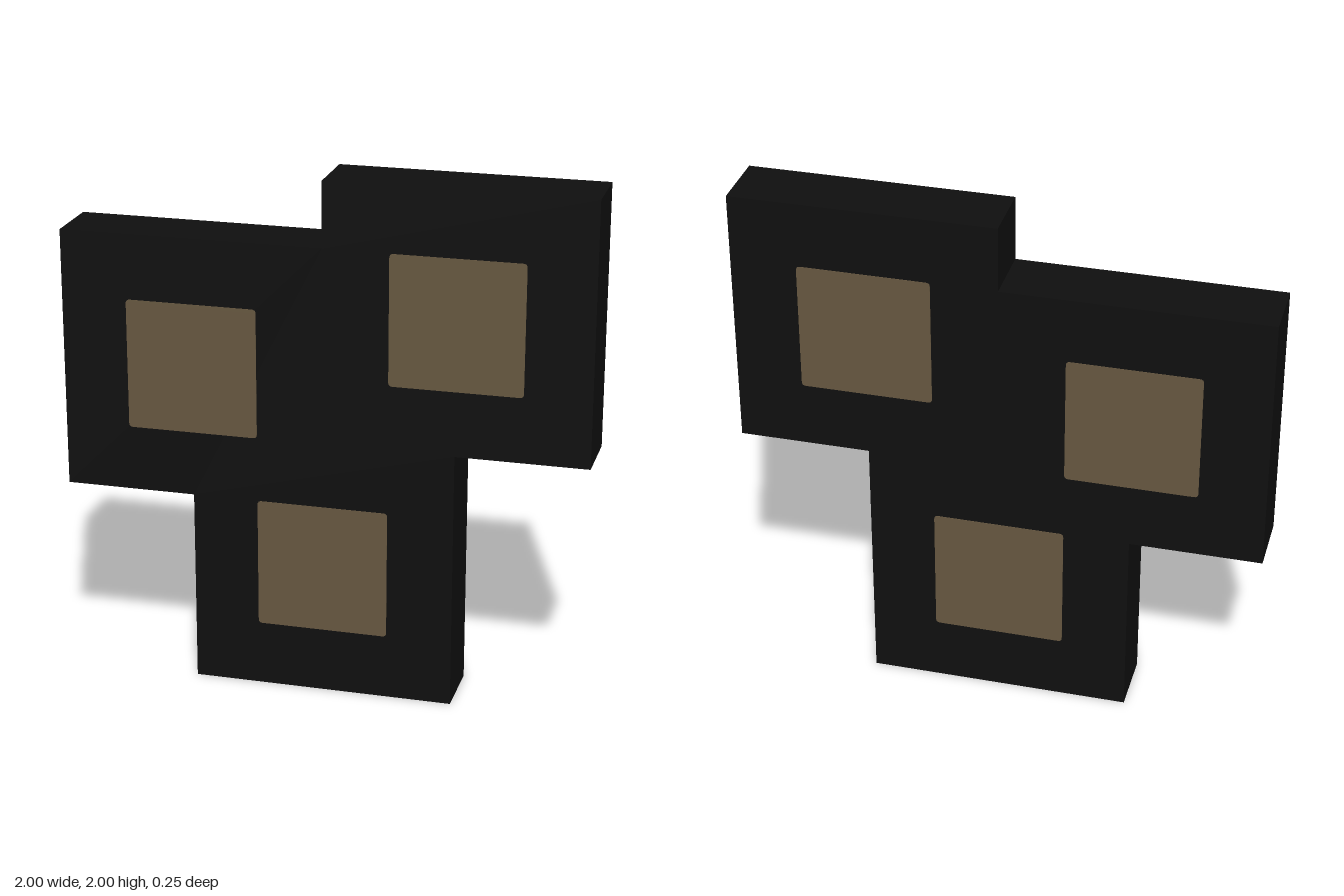
import * as THREE from 'three';

const DEPTH = 0.25;
const PROUD = 0.002;

// Square with slightly rounded corners, centred on the origin
function roundedSquare(size, r) {
  const h = size / 2;
  const s = new THREE.Shape();
  s.moveTo(-h + r, -h);
  s.lineTo(h - r, -h);
  s.quadraticCurveTo(h, -h, h, -h + r);
  s.lineTo(h, h - r);
  s.quadraticCurveTo(h, h, h - r, h);
  s.lineTo(-h + r, h);
  s.quadraticCurveTo(-h, h, -h, h - r);
  s.lineTo(-h, -h + r);
  s.quadraticCurveTo(-h, -h, -h + r, -h);
  return s;
}

export function createModel() {
  const group = new THREE.Group();
  const black = new THREE.MeshStandardMaterial({ name: 'black', color: 0x0f0f0f });
  const bronze = new THREE.MeshStandardMaterial({ name: 'bronze', color: 0x665740 });

  // Slab made of three joined square blocks
  const outline = new THREE.Shape([
    [-0.5, 0], [0.5, 0], [0.5, 1], [1, 1], [1, 2],
    [0, 2], [0, 1.75], [-1, 1.75], [-1, 0.75], [-0.5, 0.75],
  ].map(([x, y]) => new THREE.Vector2(x, y)));
  const bodyGeometry = new THREE.ExtrudeGeometry(outline, { depth: DEPTH, bevelEnabled: false });
  bodyGeometry.translate(0, 0, -DEPTH / 2);
  const body = new THREE.Mesh(bodyGeometry, black);
  body.name = 'body';
  group.add(body);

  // Thin square panel in the middle of each block, front and back
  const panelGeometry = new THREE.ExtrudeGeometry(roundedSquare(0.5, 0.015), {
    depth: PROUD, bevelEnabled: false, curveSegments: 4,
  });
  const centres = { left: [0.5, 1.5], right: [-0.5, 1.25], lower: [0, 0.5] };
  for (const [place, [x, y]] of Object.entries(centres)) {
    for (const side of ['Front', 'Back']) {
      const panel = new THREE.Mesh(panelGeometry, bronze);
      panel.name = `${place}${side}Panel`;
      panel.position.set(x, y, side === 'Front' ? DEPTH / 2 : -DEPTH / 2);
      if (side === 'Back') panel.rotation.y = Math.PI;
      group.add(panel);
    }
  }
  return group;
}
